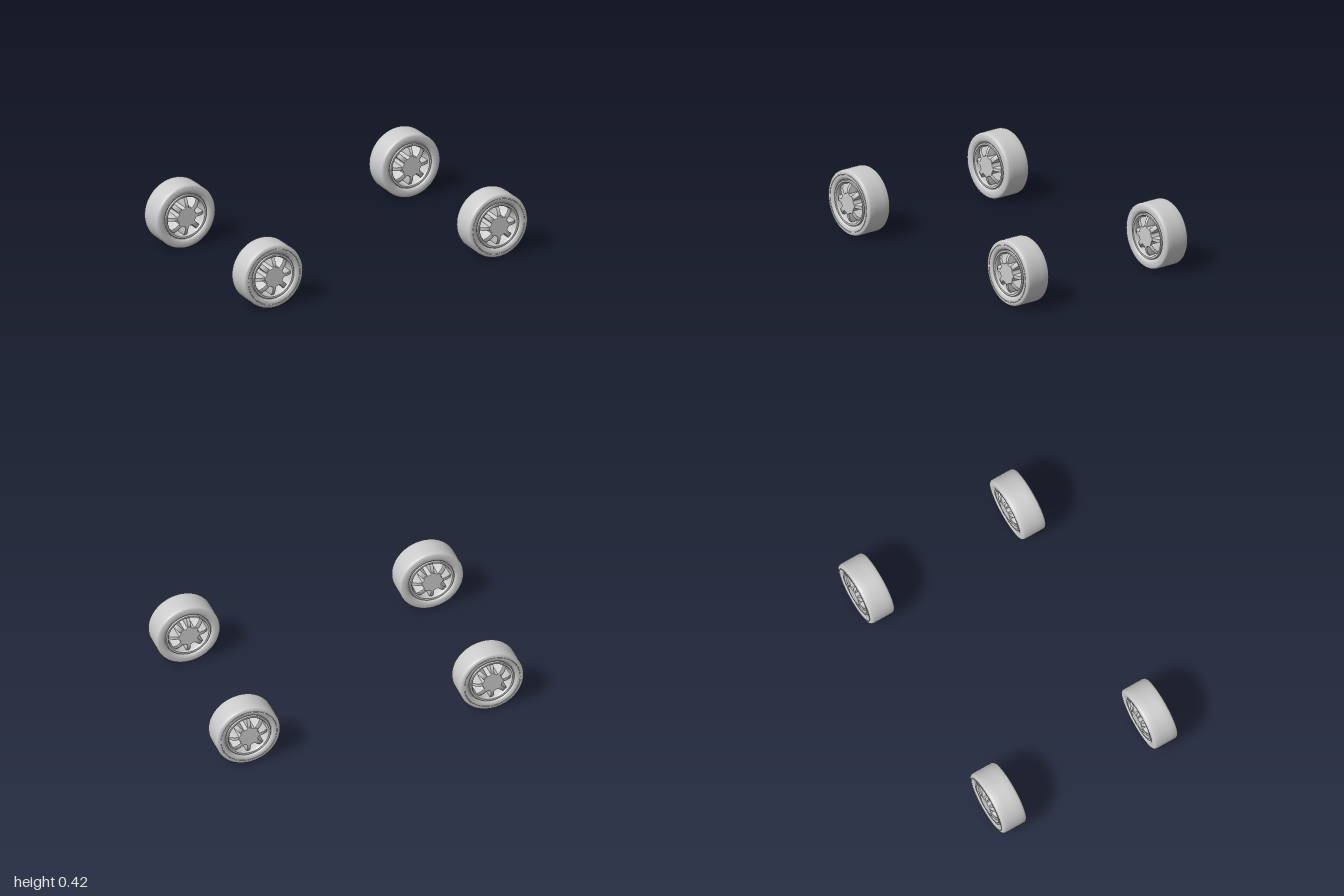
import * as THREE from 'three';
import { toCreasedNormals } from 'three/addons/utils/BufferGeometryUtils.js';

const R = 0.209;                 // tyre radius
const TRACK_X = 0.791, TRACK_Z = 0.537;
const material = new THREE.MeshStandardMaterial({ color: 0xcccccc });

function mesh(name, geometry) {
  const m = new THREE.Mesh(geometry, material);
  m.name = name;
  return m;
}

// Closed ring, symmetric about its middle plane, turned about the z axis.
// half: [radius, axial] points from the outer middle over the +z side to the inner middle.
function ring(half) {
  const mirrored = half.map(([r, a]) => [r, -a]).reverse();
  const loop = [...mirrored, ...half].map(([r, a]) => new THREE.Vector2(r, a));
  const start = half.length;
  const pts = [...loop.slice(start), ...loop.slice(0, start)];
  pts.push(pts[0].clone());
  return toCreasedNormals(new THREE.LatheGeometry(pts, 72).rotateX(Math.PI / 2), 0.6);
}

function tyreGeometry() {
  return ring([
    [R, 0.03], [R - 0.0005, 0.066], [0.206, 0.075], [0.201, 0.081], [0.194, 0.083],
    [0.186, 0.084], [0.175, 0.085], [0.166, 0.084], [0.158, 0.081], [0.152, 0.076],
    [0.149, 0.069], [0.143, 0.066], [0.143, 0.03],
  ]);
}

function rimGeometry() {
  return ring([
    [0.145, 0.03], [0.145, 0.075], [0.143, 0.079], [0.138, 0.080], [0.132, 0.078],
    [0.127, 0.071], [0.125, 0.062], [0.123, 0.03],
  ]);
}

// Spoke: side profile sloping from the hub to the rim, given a tangential width.
function spokeGeometry(width) {
  const profile = [[0.04, 0.088], [0.072, 0.088], [0.098, 0.082], [0.116, 0.070], [0.130, 0.060]];
  const points = [...profile, ...profile.map(([r, a]) => [r, -a]).reverse()]
    .map(([r, a]) => new THREE.Vector2(r, a));
  const bevel = 0.003;
  const g = new THREE.ExtrudeGeometry(new THREE.Shape(points), {
    depth: width - 2 * bevel, bevelSize: bevel, bevelOffset: -bevel,
    bevelThickness: bevel, bevelSegments: 2,
  });
  g.translate(0, 0, -(width - 2 * bevel) / 2).rotateX(Math.PI / 2);
  return toCreasedNormals(g, 0.5);
}

// Hub: flat plate with eight shallow points that run into the spokes.
function hubGeometry() {
  const points = [];
  for (let i = 0; i < 16; i++) {
    const a = (i * Math.PI) / 8, r = i % 2 ? 0.062 : 0.072;
    points.push(new THREE.Vector2(r * Math.cos(a), r * Math.sin(a)));
  }
  const g = new THREE.ExtrudeGeometry(new THREE.Shape(points), {
    depth: 0.176, bevelSize: 0.003, bevelOffset: -0.003, bevelThickness: 0.003, bevelSegments: 2,
  });
  return g.translate(0, 0, -0.088);
}

export function createModel() {
  const model = new THREE.Group();
  model.name = 'wheelSet';
  const tyre = tyreGeometry(), rim = rimGeometry(), hub = hubGeometry();
  const ridge = new THREE.TorusGeometry(0.181, 0.0025, 6, 72);
  const straightSpoke = spokeGeometry(0.022), diagonalSpoke = spokeGeometry(0.03);

  for (const sz of [1, -1]) {
    for (const sx of [1, -1]) {
      const wheel = new THREE.Group();
      wheel.name = (sz > 0 ? 'front' : 'back') + (sx > 0 ? 'Left' : 'Right') + 'Wheel';
      wheel.position.set(sx * TRACK_X, R, sz * TRACK_Z);
      wheel.add(mesh('tyre', tyre), mesh('rim', rim), mesh('hub', hub));

      // Raised line on the outer sidewall
      const line = mesh('sidewallRidge', ridge);
      line.position.z = sz * 0.0845;
      wheel.add(line);

      for (let i = 0; i < 8; i++) {
        const spoke = mesh('spoke', i % 2 ? diagonalSpoke : straightSpoke);
        spoke.rotation.z = (i * Math.PI) / 4;
        wheel.add(spoke);
      }
      model.add(wheel);
    }
  }
  return model;
}
